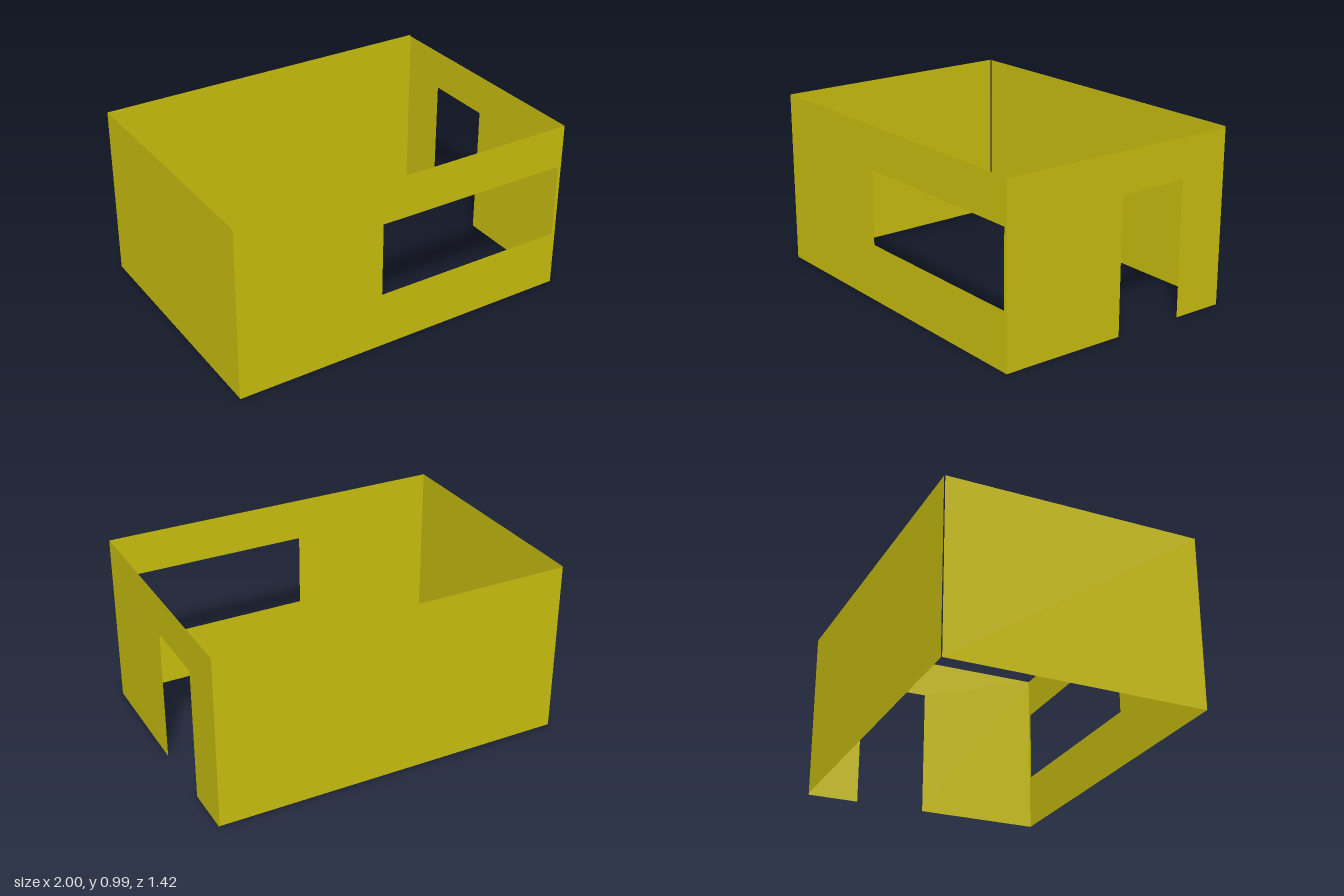
import * as THREE from 'three';

const HEIGHT = 0.98;
const material = new THREE.MeshStandardMaterial({ color: 0xcdc20f, side: THREE.DoubleSide, flatShading: true });

// Thin wall standing between two base points [x, y, z]; the outline and its
// opening are drawn flat in (distance along the wall, height).
function wall(name, a, b, outline, opening) {
  const start = new THREE.Vector3(...a);
  const end = new THREE.Vector3(...b);
  const toPoints = (list) => list.map(([u, v]) => new THREE.Vector2(u, v));
  const shape = new THREE.Shape(toPoints(outline));
  if (opening) shape.holes.push(new THREE.Path(toPoints(opening)));
  const geometry = new THREE.ShapeGeometry(shape);
  const span = start.distanceTo(end);
  const pos = geometry.attributes.position;
  const p = new THREE.Vector3();
  for (let i = 0; i < pos.count; i++) {
    p.lerpVectors(start, end, pos.getX(i) / span);
    pos.setXYZ(i, p.x, p.y + pos.getY(i), p.z);
  }
  geometry.computeVertexNormals();
  const mesh = new THREE.Mesh(geometry, material);
  mesh.name = name;
  return mesh;
}

const rect = (u0, u1, v0, v1) => [[u0, v0], [u1, v0], [u1, v1], [u0, v1]];

export function createModel() {
  const group = new THREE.Group();
  group.name = 'roomWalls';

  // front wall with a wide window towards the left end
  group.add(wall('frontWall', [-1, 0, 0.71], [0.995, 0, 0.71],
    rect(0, 1.995, 0, HEIGHT), rect(0.845, 1.975, 0.32, 0.74)));

  // side wall with a doorway open at the floor
  group.add(wall('doorWall', [0.995, 0, 0.71], [1, 0, -0.71], [
    [0, 0], [0.717, 0], [0.717, 0.755], [1.125, 0.755],
    [1.125, 0], [1.42, 0], [1.42, HEIGHT], [0, HEIGHT],
  ]));

  // plain back wall, sitting slightly higher
  group.add(wall('backWall', [1, 0.01, -0.71], [-0.99, 0.01, -0.71], rect(0, 1.99, 0, HEIGHT)));

  // plain side wall, rising a little towards the back
  group.add(wall('plainSideWall', [-0.993, 0.012, -0.705], [-0.997, 0, 0.71], rect(0, 1.415, 0, HEIGHT)));

  return group;
}
